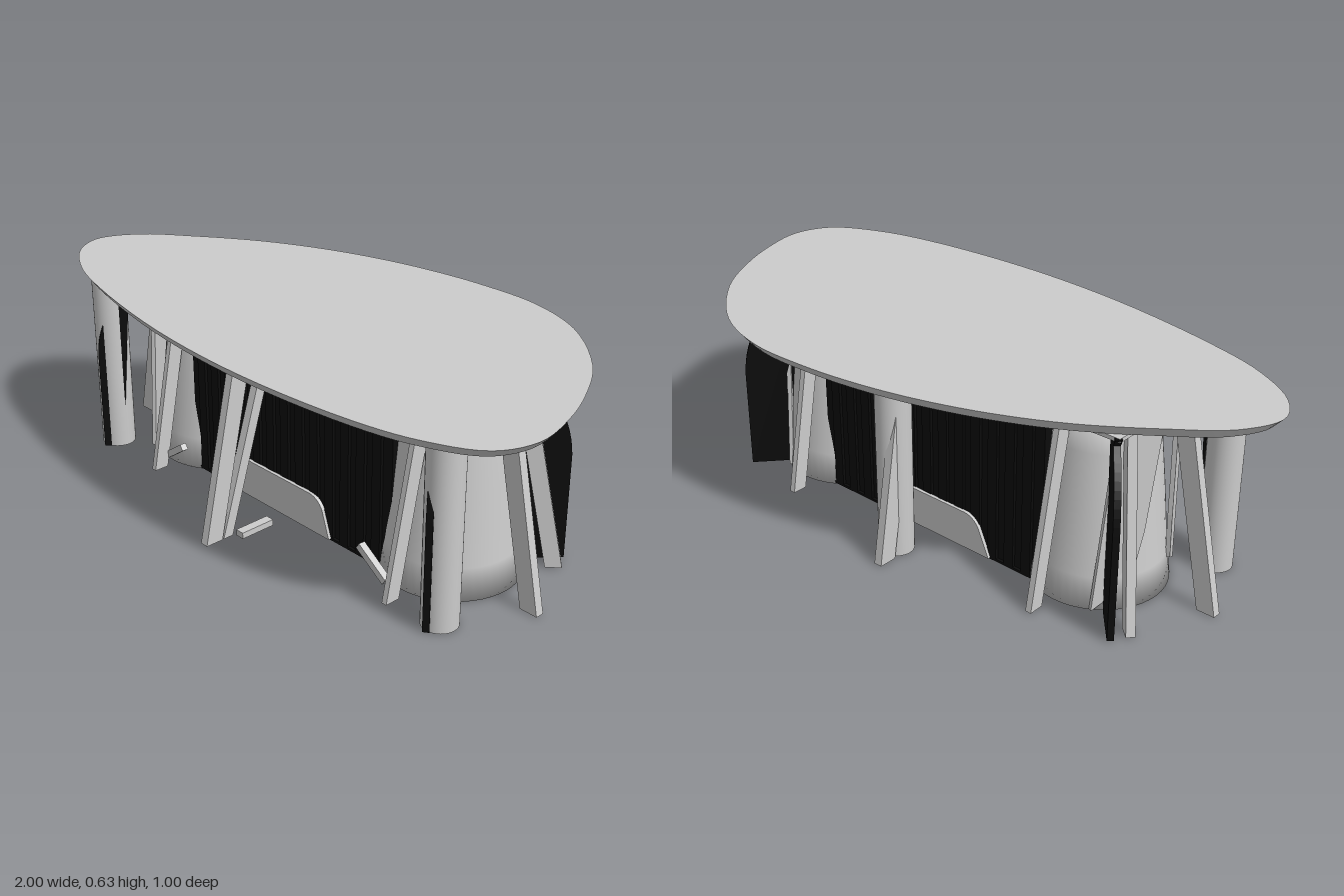
import * as THREE from 'three';

export function createModel() {
  const group = new THREE.Group();
  const grey = new THREE.MeshStandardMaterial({ color: 0xcccccc });
  const black = new THREE.MeshStandardMaterial({ color: 0x0c0c0c });

  const add = (name, geometry, material = grey, x = 0, y = 0, z = 0) => {
    const mesh = new THREE.Mesh(geometry, material);
    mesh.name = name;
    mesh.position.set(x, y, z);
    group.add(mesh);
    return mesh;
  };
  const polygon = (points) => new THREE.Shape(points.map(([x, y]) => new THREE.Vector2(x, y)));

  // Egg-shaped top, its underside drawn in to form a slanted edge
  const outline = [
    [-1, 0.13], [-0.94, 0], [-0.8, -0.12], [-0.6, -0.26], [-0.4, -0.36], [-0.2, -0.43],
    [0, -0.475], [0.2, -0.497], [0.4, -0.493], [0.6, -0.425], [0.8, -0.255], [0.9, -0.1],
    [0.965, 0.05], [0.998, 0.21], [0.95, 0.33], [0.8, 0.415], [0.6, 0.465], [0.2, 0.497],
    [-0.2, 0.475], [-0.6, 0.4], [-0.8, 0.335], [-0.95, 0.235],
  ].map(([x, z]) => new THREE.Vector3(x, -z, 0));
  const edge = new THREE.CatmullRomCurve3(outline, true).getPoints(110).slice(0, -1);
  const topShape = polygon(edge.map((p) => [p.x, p.y]));
  const top = new THREE.ExtrudeGeometry(topShape, { depth: 0.031, bevelEnabled: false });
  top.rotateX(-Math.PI / 2);
  const pos = top.attributes.position;
  for (let i = 0; i < pos.count; i++) {
    if (pos.getY(i) < 0.01) pos.setXYZ(i, pos.getX(i) * 0.972, pos.getY(i), pos.getZ(i) * 0.955);
  }
  top.computeVertexNormals();
  add('tableTop', top, grey, 0, 0.6, 0);

  // Flared drums that carry the two ends
  const drumProfile = [[0, 0], [0.213, 0], [0.2, 0.1], [0.182, 0.3], [0.163, 0.48], [0.15, 0.598], [0, 0.598]]
    .map(([r, y]) => new THREE.Vector2(r, y));
  for (const x of [-0.51, 0.55]) {
    add('drum', new THREE.LatheGeometry(drumProfile, 48), grey, x, 0, 0.01);
  }

  // Pairs of swept-back panels over each drum, leaving a pointed opening between them
  const wingShape = polygon([[0.19, 0], [0.14, 0.59], [0.02, 0.59], [0.055, 0.24], [0.085, 0.075]]);
  const wing = new THREE.ExtrudeGeometry(wingShape, { depth: 0.014, bevelEnabled: false });
  for (const end of [-1, 1]) {
    for (const flip of [0, Math.PI]) {
      const mesh = add('endPanel', wing, grey, end * 0.735, 0.003, 0.01);
      const sweep = flip === 0 ? 0.5 : -0.5;
      // Local x runs along z, towards the front or the back, and bends inwards
      mesh.rotation.y = flip - Math.PI / 2 - end * sweep;
      mesh.scale.set(1.15, 1, 1);
    }
  }

  // Ribbed dark core between the drums, on a thin floor plate
  add('core', new THREE.BoxGeometry(0.9, 0.592, 0.34), black, 0.02, 0.304, 0.01);
  for (let i = -6; i <= 6; i++) {
    add('coreRib', new THREE.BoxGeometry(0.035, 0.592, 0.36), black, 0.02 + i * 0.066, 0.304, 0.01);
  }
  add('floorPlate', new THREE.BoxGeometry(1.1, 0.008, 0.36), black, 0, 0.007, 0.01);

  // Pale low panels on the front and back of the core
  const panelShape = new THREE.Shape();
  panelShape.moveTo(-0.24, 0);
  panelShape.lineTo(0.23, 0);
  panelShape.lineTo(0.2, 0.09);
  panelShape.quadraticCurveTo(0.18, 0.125, 0.14, 0.125);
  panelShape.lineTo(-0.14, 0.125);
  panelShape.quadraticCurveTo(-0.18, 0.125, -0.2, 0.09);
  panelShape.closePath();
  const panel = new THREE.ExtrudeGeometry(panelShape, { depth: 0.012, bevelEnabled: false });
  add('frontPanel', panel, grey, 0, 0.008, 0.188);
  add('backPanel', panel, grey, 0, 0.008, -0.18);

  // Round columns
  for (const [x, z] of [[-0.755, 0.265], [0.745, 0.265], [0.02, -0.307]]) {
    add('column', new THREE.CylinderGeometry(0.055, 0.055, 0.598, 32), grey, x, 0.301, z);
  }

  // Leaning boards: a box sheared from its head position to its foot position
  const board = (name, head, foot, depth = 0.06, thickness = 0.028) => {
    const height = 0.595;
    const dx = foot[0] - head[0], dz = foot[1] - head[1];
    const geo = new THREE.BoxGeometry(depth, height, thickness);
    geo.rotateY(-Math.atan2(dz, dx));
    const p = geo.attributes.position;
    for (let i = 0; i < p.count; i++) {
      const t = 0.5 - p.getY(i) / height;
      p.setX(i, p.getX(i) + head[0] + dx * t);
      p.setZ(i, p.getZ(i) + head[1] + dz * t);
    }
    geo.computeVertexNormals();
    add(name, geo, grey, 0, height / 2 + 0.003, 0);
  };
  board('frontBoard', [-0.007, 0.325], [-0.007, 0.457]);
  board('frontBrace', [-0.007, 0.22], [-0.007, 0.405], 0.035);
  board('backBoard', [-0.01, -0.29], [-0.01, -0.39]);
  board('frontBoardRight', [-0.49, 0.17], [-0.49, 0.29], 0.05, 0.018);
  board('frontBoardLeft', [0.58, 0.17], [0.58, 0.29], 0.05, 0.018);
  for (const side of [-1, 1]) {
    board('endBoard', [side * 0.755, 0.04], [side * 0.88, 0.04]);
    board('backBoard', [side * 0.5, -0.17], [side * 0.5, -0.28], 0.05, 0.02);
    board('cornerBoard', [side * 0.68, -0.11], [side * 0.77, -0.19], 0.05);
  }

  // Short slats propped low beside the front boards
  for (const x of [-0.46, 0.47]) {
    const slat = add('slat', new THREE.BoxGeometry(0.13, 0.022, 0.022), grey, x, 0.06, 0.25);
    slat.rotation.z = -Math.sign(x) * 0.6;
  }
  add('footBlock', new THREE.BoxGeometry(0.03, 0.02, 0.12), grey, 0.03, 0.013, 0.32);

  // Dark arched fins that radiate from the drums; the front pair pass through the columns
  const finGeometry = (inner, reach) => {
    const s = new THREE.Shape();
    s.moveTo(inner, 0);
    s.lineTo(reach, 0);
    s.lineTo(reach, 0.34);
    s.quadraticCurveTo(reach - 0.01, 0.48, reach - 0.105, 0.56);
    s.lineTo(reach - 0.065, 0.597);
    s.lineTo(inner - 0.05, 0.597);
    s.closePath();
    const geo = new THREE.ExtrudeGeometry(s, { depth: 0.02, bevelEnabled: false, curveSegments: 10 });
    return geo.translate(0, 0, -0.01);
  };
  const backFin = finGeometry(0.2, 0.34);
  const frontFin = finGeometry(0.33, 0.395);
  for (const side of [-1, 1]) {
    for (const [geo, dx, dz] of [[backFin, 0.22, -0.25], [frontFin, 0.22, 0.325]]) {
      const mesh = add('fin', geo, black, side * 0.53, 0.002, 0);
      mesh.rotation.y = -Math.atan2(dz, side * dx);
    }
  }

  // Bearer plates under the top
  for (const side of [-1, 1]) {
    add('bearer', new THREE.BoxGeometry(0.3, 0.012, 0.41), grey, side * 0.56, 0.594, 0.005);
  }
  add('centreBearer', new THREE.BoxGeometry(0.09, 0.012, 0.68), black, 0, 0.595, 0.04);
  return group;
}
